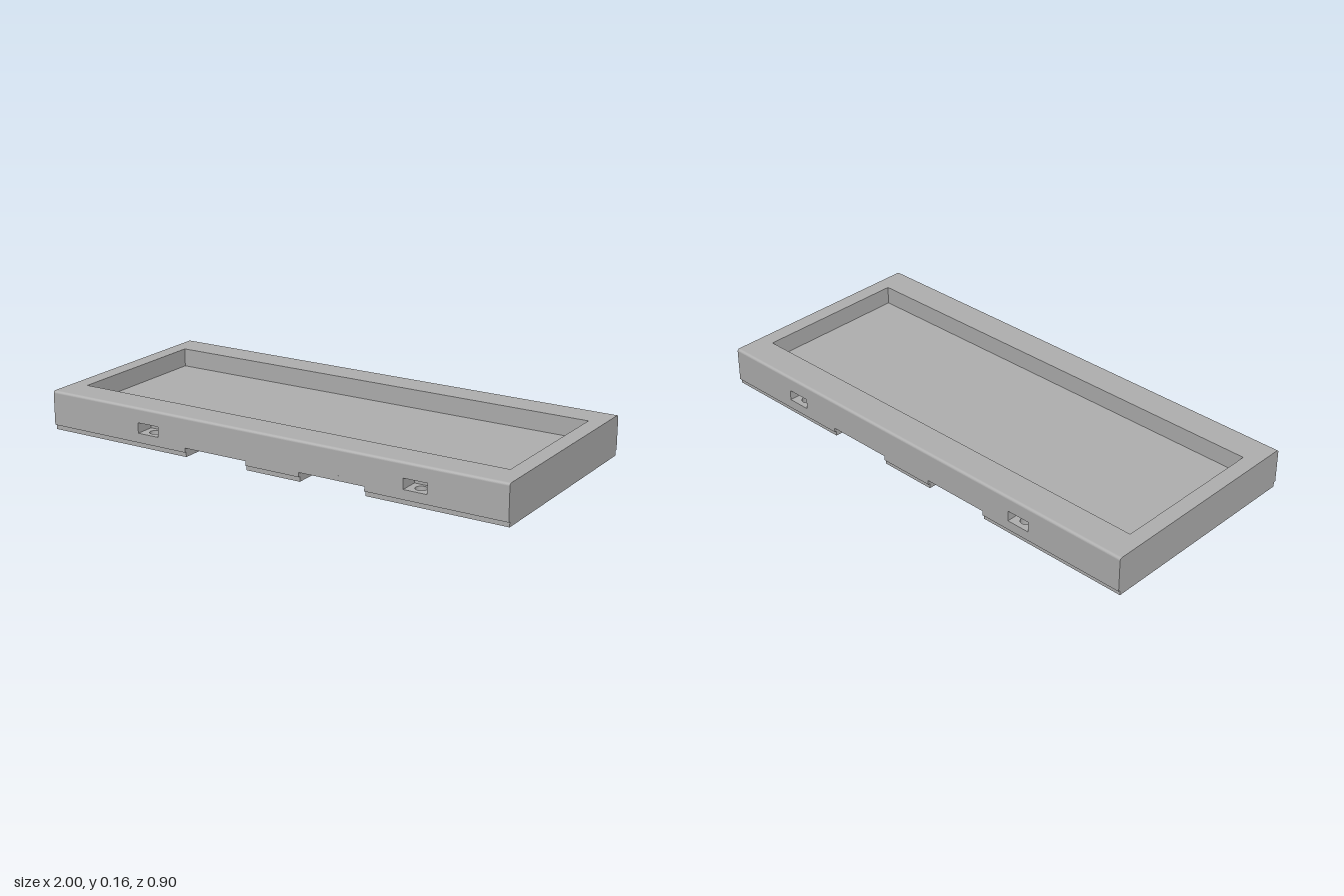
import * as THREE from 'three';

const grey = new THREE.MeshStandardMaterial({ color: 0xb0b0b0 });
grey.name = 'grey';

const HALF_X = 1, HALF_Z = 0.45, TOP = 0.16;
const REC_X = 0.936, REC_Z = 0.321, FLOOR = 0.085;   // tray recess
const SLOTS = [-0.534, 0.636];                       // slot centres along x
const SLOT_W = 0.096, SLOT_DEPTH = 0.08, SLOT_LOW = 0.058, SLOT_HIGH = 0.1;
const HOLE_R = 0.023, HOLE_Z = 0.405;
const CHANNEL_TOP = 0.038;

function rect(Type, x0, x1, hz) {
  const s = new Type();
  s.moveTo(x0, -hz).lineTo(x1, -hz).lineTo(x1, hz).lineTo(x0, hz).closePath();
  return s;
}

// Round screw holes that fall inside x0..x1
function drill(shape, x0, x1) {
  for (const x of SLOTS) for (const z of [-HOLE_Z, HOLE_Z]) {
    if (x > x0 && x < x1) shape.holes.push(new THREE.Path().absarc(x, z, HOLE_R, 0, Math.PI * 2));
  }
  return shape;
}

// Outline with slot notches cut into the front and back edges
function notched() {
  const s = new THREE.Shape();
  const h = SLOT_W / 2, d = HALF_Z - SLOT_DEPTH;
  s.moveTo(-HALF_X, -HALF_Z);
  for (const x of SLOTS) s.lineTo(x - h, -HALF_Z).lineTo(x - h, -d).lineTo(x + h, -d).lineTo(x + h, -HALF_Z);
  s.lineTo(HALF_X, -HALF_Z).lineTo(HALF_X, HALF_Z);
  for (const x of [...SLOTS].reverse()) s.lineTo(x + h, HALF_Z).lineTo(x + h, d).lineTo(x - h, d).lineTo(x - h, HALF_Z);
  s.lineTo(-HALF_X, HALF_Z).closePath();
  return s;
}

export function createModel() {
  const group = new THREE.Group();

  const add = (name, geometry) => {
    const mesh = new THREE.Mesh(geometry, grey);
    mesh.name = name;
    group.add(mesh);
    return mesh;
  };

  // Horizontal slab from y0 to y1
  const slab = (name, shape, y0, y1) => {
    const g = new THREE.ExtrudeGeometry(shape, { depth: y1 - y0, bevelEnabled: false, curveSegments: 16 });
    add(name, g.rotateX(-Math.PI / 2).translate(0, y0, 0));
  };

  // Three base pads separated by two channels, with a stepped lower edge
  for (const [x0, x1] of [[-HALF_X, -0.361], [-0.083, 0.152], [0.43, HALF_X]]) {
    slab('basePadStep', drill(rect(THREE.Shape, x0, x1, 0.442), x0, x1), 0, 0.02);
    slab('basePad', drill(rect(THREE.Shape, x0, x1, HALF_Z), x0, x1), 0.02, CHANNEL_TOP);
  }

  // Body plate, tray floor and lower rim
  slab('bodyPlate', drill(rect(THREE.Shape, -HALF_X, HALF_X, HALF_Z), -HALF_X, HALF_X), CHANNEL_TOP, SLOT_LOW);
  slab('trayFloor', notched(), SLOT_LOW, FLOOR);
  const rim = notched();
  rim.holes.push(rect(THREE.Path, -REC_X, REC_X, REC_Z));
  slab('lowerRim', rim, FLOOR, SLOT_HIGH);

  // Front and back rails with a rounded outer top edge
  const r = 0.01;
  for (const side of [1, -1]) {
    const p = new THREE.Shape();
    p.moveTo(REC_Z, SLOT_HIGH).lineTo(HALF_Z, SLOT_HIGH).lineTo(HALF_Z, TOP - r);
    p.absarc(HALF_Z - r, TOP - r, r, 0, Math.PI / 2);
    p.lineTo(REC_Z, TOP).closePath();
    const g = new THREE.ExtrudeGeometry(p, { depth: 2 * HALF_X, bevelEnabled: false, curveSegments: 6 });
    g.translate(0, 0, -HALF_X).rotateY(side * -Math.PI / 2);
    // The profile's x axis now runs along z
    add(side > 0 ? 'frontRail' : 'backRail', g);
  }

  // End rails
  for (const side of [1, -1]) {
    const g = new THREE.BoxGeometry(HALF_X - REC_X, TOP - SLOT_HIGH, 2 * REC_Z);
    g.translate(side * (HALF_X + REC_X) / 2, (TOP + SLOT_HIGH) / 2, 0);
    add(side > 0 ? 'leftRail' : 'rightRail', g);
  }

  return group;
}
